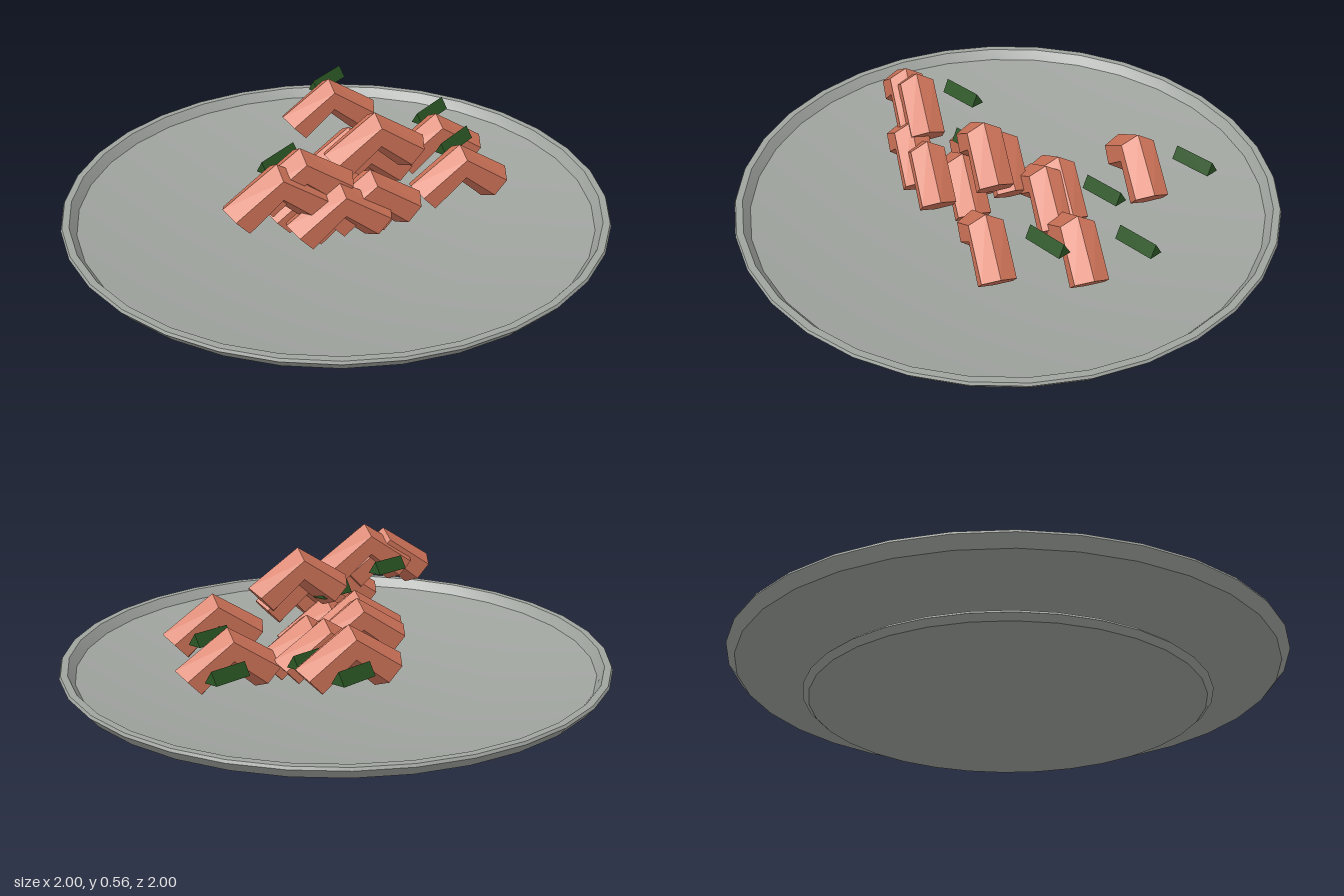
import * as THREE from 'three';
import { toCreasedNormals } from 'three/addons/utils/BufferGeometryUtils.js';

// Bent hexagonal piece: three hex rings along a chevron, capped at both ends
function bentPieceGeometry() {
  const sides = 6, r = 0.07, bend = 0.75;
  const rings = [[-0.146, -0.109, -bend], [0, 0, 0], [0.146, -0.109, bend]];
  const pos = [], idx = [];
  for (const [x, y, a] of rings) {
    for (let k = 0; k < sides; k++) {
      const t = (k / sides) * Math.PI * 2;
      const n = r * Math.cos(t);
      pos.push(x + n * Math.sin(a), y + n * Math.cos(a), r * Math.sin(t));
    }
  }
  for (let i = 0; i < 2; i++) {
    for (let k = 0; k < sides; k++) {
      const a = i * sides + k, b = i * sides + (k + 1) % sides;
      idx.push(a, b, b + sides, a, b + sides, a + sides);
    }
  }
  for (let k = 1; k < sides - 1; k++) {
    idx.push(0, k + 1, k);
    idx.push(2 * sides, 2 * sides + k, 2 * sides + k + 1);
  }
  const geo = new THREE.BufferGeometry();
  geo.setAttribute('position', new THREE.Float32BufferAttribute(pos, 3));
  geo.setIndex(idx);
  const flat = geo.toNonIndexed();
  flat.computeVertexNormals();
  return flat;
}

// Three-sided sprig lying along x with its ridge upward
function sprigGeometry() {
  const geo = new THREE.CylinderGeometry(0.03, 0.03, 0.165, 3).toNonIndexed();
  geo.rotateZ(-Math.PI / 2);
  geo.computeBoundingBox();
  // turn about the long axis until a single edge is on top
  const p = geo.attributes.position;
  let best = 0, bestY = -1;
  for (let i = 0; i < 12; i++) {
    const a = (i * Math.PI) / 6;
    let top = -1;
    for (let j = 0; j < p.count; j++) {
      top = Math.max(top, p.getY(j) * Math.cos(a) - p.getZ(j) * Math.sin(a));
    }
    if (top > bestY + 1e-6) { bestY = top; best = a; }
  }
  geo.rotateX(best);
  geo.computeVertexNormals();
  return geo;
}

export function createModel() {
  const model = new THREE.Group();
  const make = (name, color) => {
    const m = new THREE.MeshStandardMaterial({ color });
    m.name = name;
    return m;
  };
  const grey = make('plate grey', 0xa0a49f);
  const coral = make('coral orange', 0xd2755a);
  const green = make('dark green', 0x2a5424);

  const add = (name, geo, mat, x, y, z) => {
    const mesh = new THREE.Mesh(geo, mat);
    mesh.name = name;
    mesh.position.set(x, y, z);
    model.add(mesh);
    return mesh;
  };

  // Plate: foot, flared underside, rim and shallow dished floor
  const profile = [
    [0, 0], [0.705, 0], [0.727, 0.02], [0.71, 0.035], [0.6, 0.043],
    [0.968, 0.112], [1, 0.15], [0.995, 0.16], [0.97, 0.16],
    [0.945, 0.125], [0.58, 0.062], [0, 0.06],
  ].map(([x, y]) => new THREE.Vector2(x, y));
  const plate = new THREE.LatheGeometry(profile, 32);
  add('plate', toCreasedNormals(plate, 0.45), grey, 0, 0, 0);

  // Heap of bent pieces: x, height of the peak, z
  const piece = bentPieceGeometry();
  [
    [0.16, 0.43, -0.437], [0.12, 0.36, -0.155], [0.465, 0.365, -0.117],
    [0.16, 0.36, -0.096], [-0.085, 0.36, 0], [-0.12, 0.36, 0.09],
    [0.1, 0.545, 0.112], [-0.03, 0.33, 0.16], [0.405, 0.39, 0.187],
    [-0.342, 0.525, 0.294], [-0.25, 0.555, 0.273], [0, 0.43, 0.294],
    [-0.13, 0.43, 0.326],
  ].forEach(([x, y, z], i) => add(`shrimpPiece${i + 1}`, piece, coral, x, y - 0.07, z));

  // Scattered green sprigs, all turned the same way
  const sprig = sprigGeometry();
  [
    [0.235, 0.33, -0.63], [0.24, 0.27, -0.29], [0.54, 0.27, -0.31],
    [0.486, 0.295, -0.005], [-0.262, 0.43, 0.1], [-0.045, 0.36, 0.12],
  ].forEach(([x, y, z], i) => {
    const mesh = add(`sprig${i + 1}`, sprig, green, x, y, z);
    mesh.rotation.set(0, 0.47, 0.07);
  });

  return model;
}
